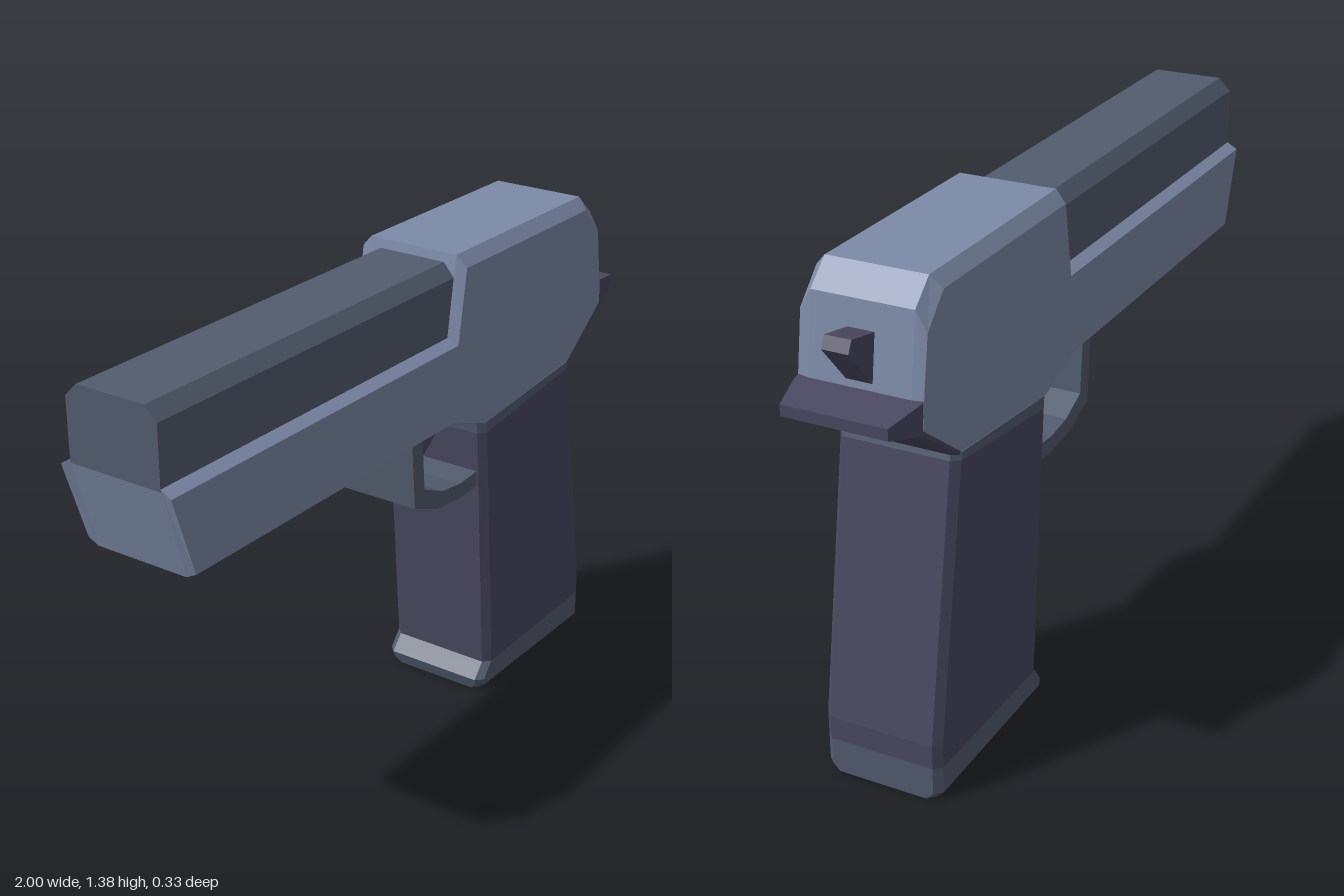
import * as THREE from 'three';

const paint = (color) => new THREE.MeshStandardMaterial({ color, flatShading: true });

// Skin a stack of rings (arrays of [x, y, z]) and cap both ends.
function loft(rings, project) {
  const pos = [];
  const tri = (a, b, c) => pos.push(...a, ...b, ...c);
  for (let i = 0; i < rings.length - 1; i++) {
    const lo = rings[i], hi = rings[i + 1];
    for (let j = 0; j < lo.length; j++) {
      const k = (j + 1) % lo.length;
      tri(lo[j], lo[k], hi[k]);
      tri(lo[j], hi[k], hi[j]);
    }
  }
  const first = rings[0], last = rings[rings.length - 1];
  const faces = (ring) => THREE.ShapeUtils.triangulateShape(ring.map((p) => new THREE.Vector2(...project(p))), []);
  for (const [a, b, c] of faces(first)) tri(first[a], first[c], first[b]);
  for (const [a, b, c] of faces(last)) tri(last[a], last[b], last[c]);
  const geo = new THREE.BufferGeometry();
  geo.setAttribute('position', new THREE.Float32BufferAttribute(pos, 3));
  geo.computeVertexNormals();
  return geo;
}

// Side profile given thickness; the side faces may use a smaller outline to form bevels.
function slab(outer, width, side = outer, bevel = 0) {
  const at = (pts, z) => pts.map(([x, y]) => [x, y, z]);
  const rings = bevel
    ? [at(side, -width), at(outer, bevel - width), at(outer, width - bevel), at(side, width)]
    : [at(outer, -width), at(outer, width)];
  return loft(rings, (p) => [p[0], p[1]]);
}

// Chamfered octagonal sections, bottom to top: [front x, front y, back x, back y, half width].
function column(sections) {
  const c = 0.02;
  const rings = sections.map(([x0, y0, x1, y1, w]) => [
    [x0 + c, w], [x1 - c, w], [x1, w - c], [x1, c - w],
    [x1 - c, -w], [x0 + c, -w], [x0, c - w], [x0, w - c],
  ].map(([x, z]) => [x, y0 + (y1 - y0) * (x - x0) / (x1 - x0), z]));
  return loft(rings, (p) => [p[0], -p[2]]);
}

export function createModel() {
  const model = new THREE.Group();
  model.name = 'pistol';
  const steel = paint(0x7d8ba8), dark = paint(0x525c6e), grip = paint(0x4a4860);
  const add = (name, geo, mat) => {
    const mesh = new THREE.Mesh(geo, mat);
    mesh.name = name;
    model.add(mesh);
  };

  // Bevelled frame and rear slide
  add('frame', slab(
    [[-1, 1.157], [-0.93, 0.91], [0.12, 0.91], [0.28, 0.865], [0.73, 0.905], [0.9, 1.035],
      [0.89, 1.1], [0.86, 1.315], [0.795, 1.375], [0.165, 1.375], [0.13, 1.157]],
    0.165,
    [[-1, 1.14], [-0.93, 0.925], [0.12, 0.925], [0.28, 0.87], [0.72, 0.912], [0.89, 1.04],
      [0.885, 1.1], [0.86, 1.265], [0.785, 1.343], [0.172, 1.343], [0.138, 1.14]],
    0.03), steel);

  // Barrel with chamfered top, running along x
  const section = new THREE.Shape([[-0.135, 1.15], [0.135, 1.15], [0.135, 1.315], [0.1, 1.35],
    [-0.1, 1.35], [-0.135, 1.315]].map((p) => new THREE.Vector2(...p)));
  const barrel = new THREE.ExtrudeGeometry(section, { depth: 1.3, bevelEnabled: false });
  add('barrel', barrel.rotateY(Math.PI / 2).translate(-1, 0, 0), dark);

  // Grip with collar and flared base
  add('gripBase', column([[0.305, 0, 0.86, 0, 0.145], [0.298, 0.02, 0.86, 0.02, 0.165],
    [0.292, 0.038, 0.86, 0.035, 0.165], [0.33, 0.083, 0.86, 0.095, 0.165]]), dark);
  add('grip', column([[0.33, 0.083, 0.86, 0.095, 0.165], [0.324, 0.16, 0.86, 0.16, 0.165],
    [0.272, 0.835, 0.74, 0.89, 0.165]]), grip);
  add('gripCollar', column([[0.272, 0.835, 0.74, 0.89, 0.165], [0.268, 0.868, 0.735, 0.91, 0.165]]), dark);

  // Undercut and tapered tang behind the grip
  add('undercut', slab([[0.73, 0.9], [0.905, 1.03], [0.88, 1.05], [0.72, 0.92]], 0.164,
    [[0.725, 0.905], [0.895, 1.033], [0.88, 1.045], [0.72, 0.917]], 0.02), grip);
  const plate = (x, lo, hi, w) => [[x, lo, w], [x, lo, -w], [x, hi, -w], [x, hi, w]];
  add('tang', loft([plate(0.87, 1.025, 1.112, 0.164), plate(0.9, 1.03, 1.107, 0.164),
    plate(1, 1.058, 1.088, 0.14)], (p) => [-p[2], p[1]]), grip);

  // Hammer
  add('hammer', slab([[0.86, 1.12], [0.885, 1.125], [0.98, 1.235], [0.965, 1.265], [0.86, 1.245]], 0.035), grip);

  // Trigger and its guard
  add('trigger', slab([[0.14, 0.92], [0.13, 0.83], [0.09, 0.79], [0.125, 0.772], [0.2, 0.825],
    [0.27, 0.87], [0.27, 0.92]], 0.05), grip);
  add('triggerGuard', slab([[-0.035, 0.915], [-0.02, 0.72], [0.085, 0.678], [0.2, 0.665], [0.3, 0.673],
    [0.3, 0.718], [0.2, 0.71], [0.11, 0.722], [0.025, 0.76], [0.012, 0.915]], 0.14), dark);

  return model;
}
